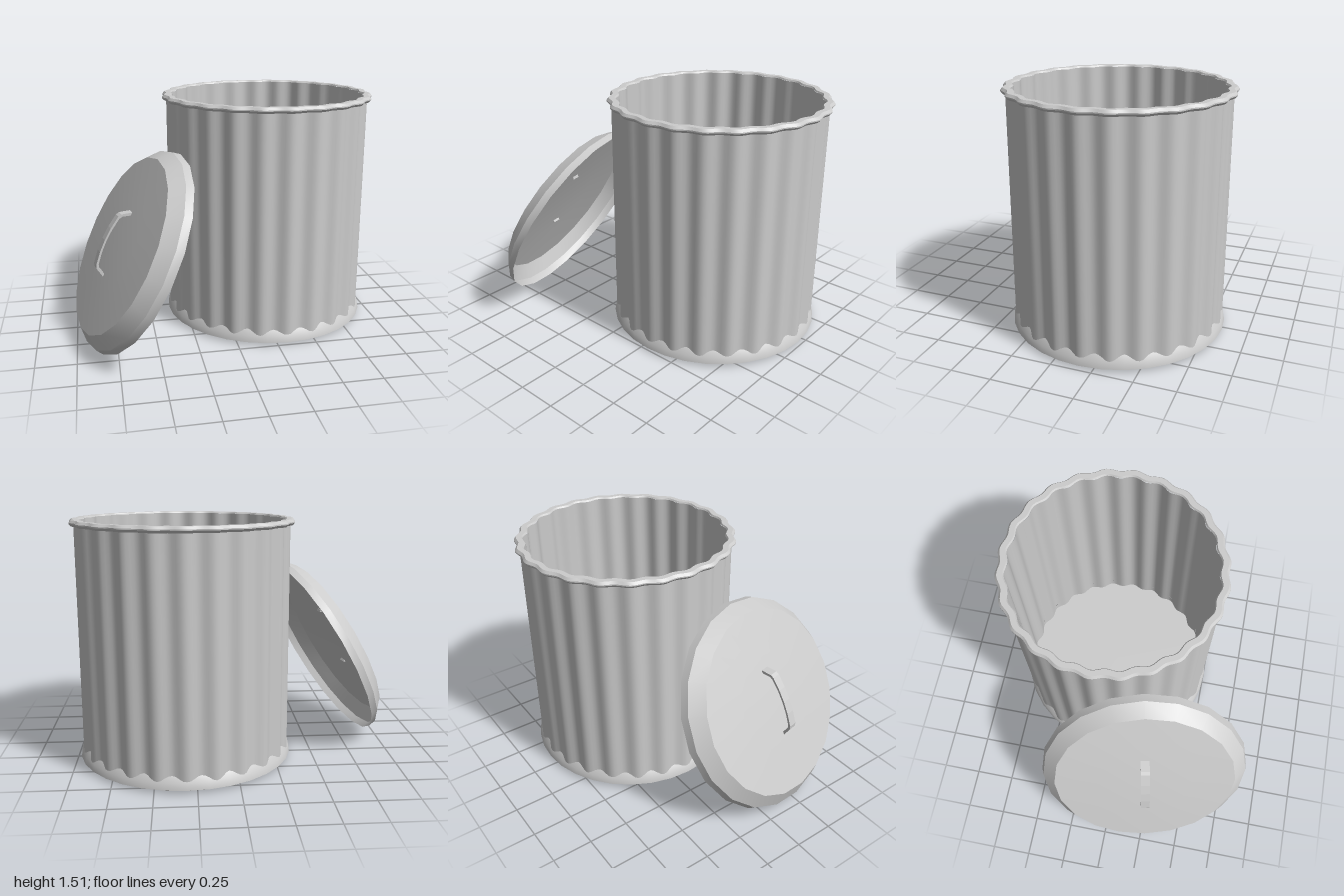
import * as THREE from 'three';
import { toCreasedNormals } from 'three/addons/utils/BufferGeometryUtils.js';

const FLUTES = 24;
const material = new THREE.MeshStandardMaterial({ color: 0xcccccc });
const thinMaterial = new THREE.MeshStandardMaterial({ color: 0xcccccc, side: THREE.DoubleSide });

function addMesh(parent, name, geometry, mat = material) {
  const mesh = new THREE.Mesh(geometry, mat);
  mesh.name = name;
  parent.add(mesh);
  return mesh;
}

// Turned profile of [radius, height] points, optionally fluted by a wave of the given depth
function turned(profile, segments, wave = 0, crease = 0.6) {
  const points = profile.map(([r, y]) => new THREE.Vector2(r, y));
  const geometry = new THREE.LatheGeometry(points, segments);
  const pos = geometry.attributes.position;
  for (let i = 0; i < pos.count && wave; i++) {
    const x = pos.getX(i), z = pos.getZ(i), r = Math.hypot(x, z);
    if (r < 0.01) continue;
    const k = 1 + (wave * Math.cos(FLUTES * Math.atan2(x, z))) / r;
    pos.setXYZ(i, x * k, pos.getY(i), z * k);
  }
  return toCreasedNormals(geometry, crease);
}

function createCan() {
  const can = new THREE.Group();
  can.name = 'can';
  // Fluted wall: outside up, inside down to the floor
  addMesh(can, 'flutedWall', turned([[0.651, 0.03], [0.651, 1.48]], FLUTES * 8, 0.012, 0.9));
  addMesh(can, 'innerWall', turned([[0.627, 1.5], [0.627, 0.04]], FLUTES * 8, 0.012, 0.9));
  addMesh(can, 'floor', turned([[0.64, 0.04], [0, 0.04]], 48));
  // Rim lip follows the flutes
  addMesh(can, 'rim', turned(
    [[0.65, 1.472], [0.668, 1.474], [0.681, 1.488], [0.681, 1.495], [0.668, 1.51], [0.634, 1.51], [0.627, 1.5]],
    FLUTES * 8, 0.009));
  // Round flared foot with a closed underside
  addMesh(can, 'base', turned(
    [[0, 0], [0.635, 0], [0.676, 0.02], [0.668, 0.06], [0.638, 0.1]], 32));
  can.position.set(0.31, 0, -0.17);
  return can;
}

function createLid() {
  const lid = new THREE.Group();
  lid.name = 'lid';
  // Thin hollow shell with a sloping wall and slightly domed top
  addMesh(lid, 'lidShell', turned(
    [[0.665, 0], [0.655, 0.05], [0.58, 0.125], [0.3, 0.14], [0, 0.145]], 20, 0, 0.45), thinMaterial);

  // Bent strap handle: outline of constant thickness, extruded to the strap width
  const half = [[0.22, 0], [0.185, 0.06], [0.165, 0.072], [0.08, 0.085]];
  const outer = [...half.map(([u, h]) => [-u, h]), [0, 0.089], ...half.slice().reverse()];
  const inner = outer.map(([u, h]) => [u * 0.94, h - 0.012]).reverse();
  const outline = new THREE.Shape([...outer, ...inner].map(([u, h]) => new THREE.Vector2(u, h)));
  const strap = new THREE.ExtrudeGeometry(outline, { depth: 0.056, bevelEnabled: false });
  strap.translate(0, 0.14, -0.028);
  addMesh(lid, 'lidHandle', strap);

  // Lean against the can: local y is the lid's axis, local x runs up the slope
  const axis = new THREE.Vector3(-0.868, 0.46, 0.19).normalize();
  const up = new THREE.Vector3(0, 1, 0).addScaledVector(axis, -axis.y).normalize();
  const side = new THREE.Vector3().crossVectors(up, axis);
  lid.quaternion.setFromRotationMatrix(new THREE.Matrix4().makeBasis(up, axis, side));
  lid.position.set(-0.603, 0.592, 0.2);
  return lid;
}

export function createModel() {
  const model = new THREE.Group();
  model.name = 'binWithLid';
  model.add(createCan(), createLid());
  return model;
}
